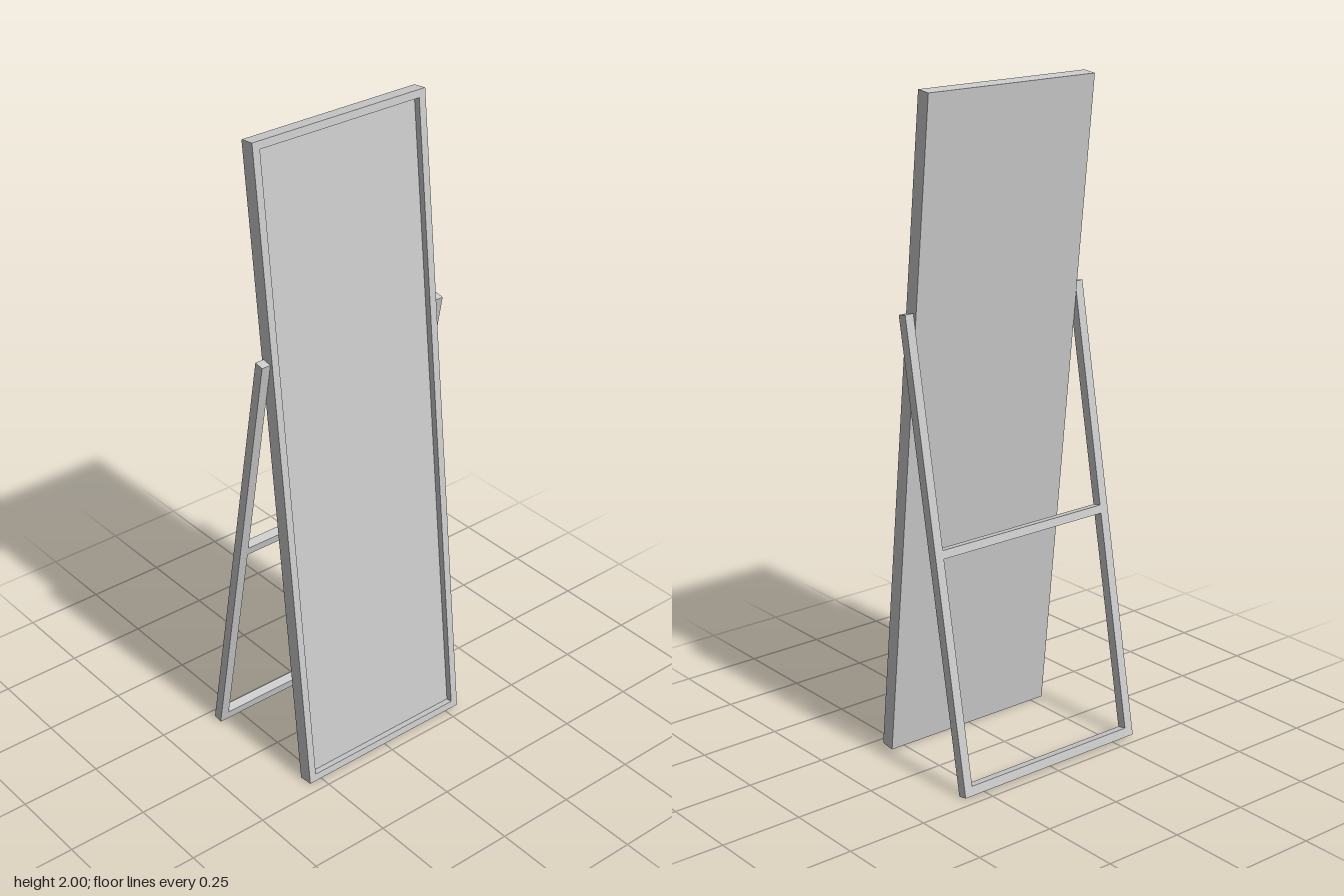
import * as THREE from 'three';

const material = new THREE.MeshStandardMaterial({ color: 0xcccccc, flatShading: true });

// Box given by its minimum and maximum corners
function box(name, min, max) {
  const size = max.map((v, i) => v - min[i]);
  const mesh = new THREE.Mesh(new THREE.BoxGeometry(...size), material);
  mesh.position.set(...max.map((v, i) => (v + min[i]) / 2));
  mesh.name = name;
  return mesh;
}

function rectangle(Type, x, y0, y1) {
  const path = new Type();
  path.moveTo(-x, y0);
  path.lineTo(x, y0);
  path.lineTo(x, y1);
  path.lineTo(-x, y1);
  path.closePath();
  return path;
}

export function createModel() {
  const model = new THREE.Group();
  model.name = 'standingMirror';

  // Leaning mirror: local origin on the lower front edge
  const mirror = new THREE.Group();
  mirror.name = 'mirror';
  const height = 2.0066, halfWidth = 0.295, depth = 0.045, border = 0.023, recess = 0.02;

  // Raised rim around the glass
  const rim = rectangle(THREE.Shape, halfWidth, 0, height);
  rim.holes.push(rectangle(THREE.Path, halfWidth - border, border, height - border));
  const frame = new THREE.Mesh(
    new THREE.ExtrudeGeometry(rim, { depth, bevelEnabled: false }), material);
  frame.name = 'mirrorFrame';
  frame.position.z = -depth;
  mirror.add(frame);

  // Glass and backing fill the frame behind the recess
  mirror.add(box('mirrorPanel',
    [-halfWidth + border, border, -depth],
    [halfWidth - border, height - border, -recess]));
  mirror.position.set(0, 0.005, 0.218);
  mirror.rotation.x = -Math.asin(0.215 / height);
  model.add(mirror);

  // Rear stand: local origin on the lower back edge
  const stand = new THREE.Group();
  stand.name = 'stand';
  const inner = 0.297, outer = 0.325, thick = 0.03;
  stand.add(box('leftLeg', [inner, 0, 0], [outer, 1.398, thick]));
  stand.add(box('rightLeg', [-outer, 0, 0], [-inner, 1.398, thick]));
  stand.add(box('bottomCrossbar', [-inner, 0, 0], [inner, 0.028, thick]));
  stand.add(box('middleCrossbar', [-inner, 0.699, 0], [inner, 0.724, thick]));
  stand.position.set(0, 0.0055, -0.22);
  stand.rotation.x = Math.asin(0.255 / 1.398);
  model.add(stand);

  return model;
}
